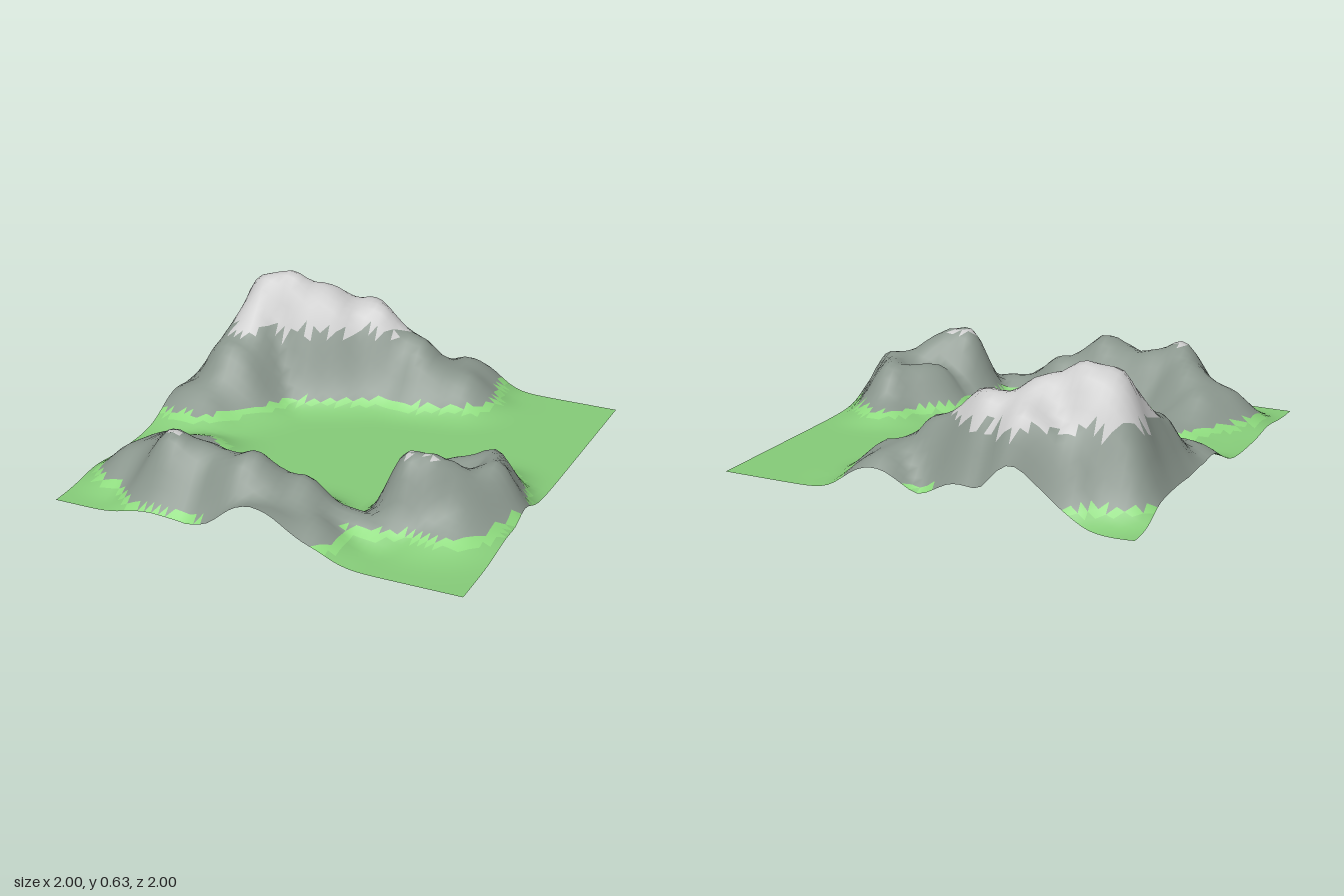
import * as THREE from 'three';

// Ridge lines: flank width and crest points [x, z, height above the valley floor]
const ridges = [
  // north-west range
  { width: 0.22, crest: [[-0.85, -0.13, 0.16], [-0.76, -0.32, 0.31], [-0.70, -0.60, 0.61], [-0.48, -0.63, 0.56],
    [-0.20, -0.75, 0.43]] },
  { width: 0.18, crest: [[-0.20, -0.75, 0.36], [0.05, -0.72, 0.31], [0.27, -0.74, 0.17]] },
  { width: 0.16, crest: [[-0.60, -0.80, 0.33], [-0.41, -0.86, 0.44]] },
  { width: 0.18, crest: [[0.24, -0.90, 0.17]] },
  { width: 0.14, crest: [[-0.84, -0.70, 0.28], [-0.80, -0.30, 0.28]] },
  // front ridge, ending in a hump cut by the border
  { width: 0.19, crest: [[-0.65, 0.34, 0.09], [-0.68, 0.56, 0.21], [-0.50, 0.75, 0.35], [-0.30, 0.74, 0.28],
    [-0.12, 0.78, 0.34], [0.08, 0.73, 0.22]] },
  { width: 0.17, crest: [[-0.77, 0.66, 0.17]] },
  { width: 0.19, crest: [[0.00, 1.00, 0.20], [0.20, 0.88, 0.13]] },
  { width: 0.10, crest: [[0.10, 0.69, 0.15], [0.50, 0.69, 0.08]] },
  // right mountain, a ring round a shallow hollow
  { width: 0.14, crest: [[0.55, 0.52, 0.36], [0.63, 0.49, 0.36], [0.77, 0.40, 0.25], [0.84, 0.28, 0.27],
    [0.78, 0.15, 0.24], [0.61, 0.30, 0.21]] },
  { width: 0.15, crest: [[0.75, 0.04, 0.09]] },
  { width: 0.23, crest: [[0.71, 0.47, 0.18]] },
];

// Height of one ridge: a bell-shaped flank on either side of its crest line
function ridgeHeight({ width, crest }, x, z) {
  let best = 0;
  for (let i = 0; i < crest.length; i++) {
    const [ax, az, ah] = crest[i];
    const [bx, bz, bh] = crest[Math.min(i + 1, crest.length - 1)];
    const dx = bx - ax, dz = bz - az;
    const along = ((x - ax) * dx + (z - az) * dz) / (dx * dx + dz * dz || 1);
    const t = THREE.MathUtils.clamp(along, 0, 1);
    const d2 = ((x - ax - t * dx) ** 2 + (z - az - t * dz) ** 2) / width ** 2;
    best = Math.max(best, (ah + (bh - ah) * t) * Math.exp(-(d2 ** 1.2)));
  }
  return best;
}

// Ridges are blended by a soft maximum, with slight roughness on the slopes
function heightAt(x, z) {
  const sum = ridges.reduce((s, ridge) => s + ridgeHeight(ridge, x, z) ** 4, 0);
  const rough = 1 + 0.05 * Math.sin(21 * x + 3 * z) * Math.sin(18 * z - 5 * x);
  const dip = 0.022 * Math.exp(-((x + 0.85) ** 2 + (z + 1) ** 2) / 0.05);
  return 0.028 + 0.007 * Math.sin(2.6 * x + 0.6) * Math.cos(2.2 * z) - dip + sum ** 0.25 * rough;
}

function seeded(seed) {
  return () => (seed = (seed * 16807) % 2147483647) / 2147483647;
}

export function createModel() {
  const group = new THREE.Group();
  group.name = 'mountainValley';

  // One height field shared by all the colour bands, so normals stay continuous
  const terrain = new THREE.PlaneGeometry(2, 2, 56, 56).rotateX(-Math.PI / 2);
  const pos = terrain.attributes.position;
  let lowest = Infinity;
  for (let i = 0; i < pos.count; i++) {
    const x = pos.getX(i), z = pos.getZ(i);
    const y = heightAt(x, z);
    lowest = Math.min(lowest, y);
    // The back border bows slightly inwards below the summits
    const bow = 0.07 * Math.exp(-(((x + 0.55) / 0.2) ** 2)) + 0.04 * Math.exp(-(((x + 0.03) / 0.16) ** 2));
    pos.setXYZ(i, x, y, z + bow * ((1 - z) / 2) ** 14);
  }
  terrain.translate(0, -lowest, 0);
  terrain.computeVertexNormals();

  // Colour bands by height, with a ragged border
  const bands = [
    { name: 'grass', color: 0x86cc79, top: 0.055, faces: [] },
    { name: 'grassFringe', color: 0x8edb7e, top: 0.08, faces: [] },
    { name: 'rock', color: 0x8a968d, top: 0.37, faces: [] },
    { name: 'snow', color: 0xcccccc, top: Infinity, faces: [] },
  ];
  const random = seeded(7);
  const index = terrain.index.array;
  for (let f = 0; f < index.length; f += 3) {
    const tri = [index[f], index[f + 1], index[f + 2]];
    const mean = tri.reduce((s, v) => s + pos.getY(v), 0) / 3;
    const y = mean * (1 + 0.12 * (random() - 0.5));
    bands.find((b) => y < b.top).faces.push(...tri);
  }

  for (const { name, color, faces } of bands) {
    const geometry = new THREE.BufferGeometry();
    geometry.setAttribute('position', pos);
    geometry.setAttribute('normal', terrain.attributes.normal);
    geometry.setIndex(faces);
    const mesh = new THREE.Mesh(geometry, new THREE.MeshStandardMaterial({ color, side: THREE.DoubleSide }));
    mesh.name = name;
    group.add(mesh);
  }
  return group;
}
